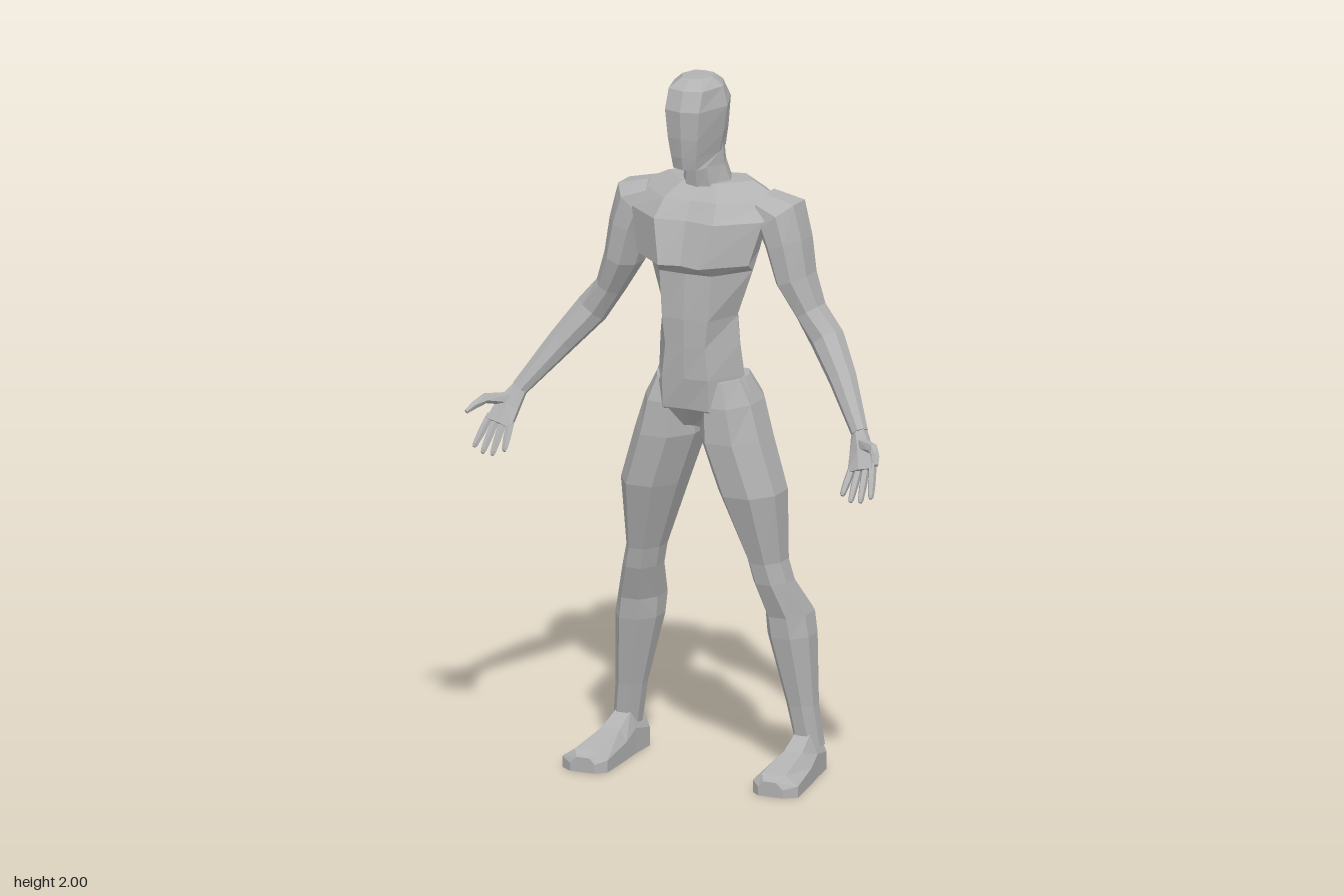
import * as THREE from 'three';

const skin = new THREE.MeshStandardMaterial({ color: 0xb2b2b2, flatShading: true });
skin.name = 'clay grey';

// Skins a list of equal-length rings, closes both ends and faces outwards.
function loft(name, rings, side = 1) {
  const n = rings[0].length, tris = [];
  rings.forEach((ring, r) => {
    const next = rings[r + 1];
    if (!next) return;
    for (let i = 0; i < n; i++) {
      const j = (i + 1) % n;
      tris.push([ring[i], ring[j], next[j]], [ring[i], next[j], next[i]]);
    }
  });
  const cap = (ring, flip) => {
    const mid = ring.reduce((s, p) => s.add(p), new THREE.Vector3()).divideScalar(n);
    ring.forEach((p, i) => {
      const q = ring[(i + 1) % n];
      tris.push(flip ? [mid, q, p] : [mid, p, q]);
    });
  };
  cap(rings[0], true);
  cap(rings[rings.length - 1], false);
  const volume = tris.reduce((v, [a, b, c]) => v + a.dot(b.clone().cross(c)), 0) * side;
  const pos = [];
  tris.forEach(([a, b, c]) => (volume < 0 ? [a, c, b] : [a, b, c])
    .forEach(p => pos.push(p.x * side, p.y, p.z)));
  const geo = new THREE.BufferGeometry();
  geo.setAttribute('position', new THREE.Float32BufferAttribute(pos, 3));
  geo.computeVertexNormals();
  const mesh = new THREE.Mesh(geo, skin);
  mesh.name = name;
  return mesh;
}

// Symmetric ring: y, front middle z, front x/z, side x/z, back x/z, back middle z.
const bodyRing = ([y, fm, fx, fz, sx, sz, bx, bz, bm]) =>
  [[0, fm], [fx, fz], [sx, sz], [bx, bz], [0, bm], [-bx, bz], [-sx, sz], [-fx, fz]]
    .map(([x, z]) => new THREE.Vector3(x, y, z));

// Eight-sided leg ring: y, inner x, outer x, front z, back z.
const legRing = ([y, xi, xo, zf, zb]) => {
  const cx = (xi + xo) / 2, cz = (zf + zb) / 2, w = (xo - xi) / 2, d = (zf - zb) / 2;
  return [[1, 0.35], [0.45, 1], [-0.45, 1], [-1, 0.35], [-1, -0.45], [-0.5, -1], [0.5, -1], [1, -0.45]]
    .map(([u, v]) => new THREE.Vector3(cx + u * w, y, cz + v * d));
};

// Rings along a path of x, y, z, half width across, half depth.
function limbRings(rows, sides) {
  const pts = rows.map(r => new THREE.Vector3(r[0], r[1], r[2]));
  return rows.map(([, , , a, b], i) => {
    const t = pts[Math.min(i + 1, pts.length - 1)].clone().sub(pts[Math.max(i - 1, 0)]).normalize();
    const u = new THREE.Vector3(0, 0, 1).cross(t).normalize();
    const v = t.clone().cross(u);
    return Array.from({ length: sides }, (_, k) => {
      const ang = (k + 0.5) / sides * Math.PI * 2;
      return pts[i].clone().addScaledVector(u, Math.cos(ang) * a * 1.06)
        .addScaledVector(v, Math.sin(ang) * b * 1.06);
    });
  });
}

const TORSO = [
  [1.00, 0.03, 0.03, 0.04, 0.06, -0.02, 0.05, -0.09, -0.06],
  [1.06, 0.08, 0.07, 0.085, 0.16, -0.02, 0.08, -0.145, -0.10],
  [1.15, 0.095, 0.07, 0.09, 0.13, -0.02, 0.07, -0.125, -0.10],
  [1.24, 0.10, 0.06, 0.09, 0.122, -0.01, 0.06, -0.095, -0.08],
  [1.32, 0.10, 0.07, 0.09, 0.113, -0.01, 0.07, -0.10, -0.08],
  [1.45, 0.09, 0.08, 0.085, 0.155, -0.02, 0.10, -0.13, -0.095],
  [1.48, 0.12, 0.06, 0.137, 0.17, 0.04, 0.12, -0.14, -0.10],
  [1.60, 0.085, 0.09, 0.10, 0.20, 0.01, 0.14, -0.165, -0.115],
  [1.65, 0.05, 0.08, 0.055, 0.215, -0.07, 0.13, -0.16, -0.13],
  [1.69, 0.0, 0.05, 0.0, 0.13, -0.08, 0.08, -0.135, -0.12],
];
const NECK = [
  [1.66, 0.01, 0.04, 0.005, 0.08, -0.06, 0.05, -0.125, -0.125],
  [1.74, 0.025, 0.03, 0.015, 0.058, -0.04, 0.035, -0.10, -0.105],
  [1.82, 0.03, 0.03, 0.025, 0.058, -0.03, 0.035, -0.085, -0.09],
];
const HEAD = [
  [1.75, 0.103, 0.035, 0.09, 0.048, 0.06, 0.04, 0.03, 0.03],
  [1.785, 0.11, 0.038, 0.098, 0.063, 0.0, 0.045, -0.078, -0.085],
  [1.84, 0.117, 0.045, 0.105, 0.075, 0.0, 0.05, -0.085, -0.095],
  [1.92, 0.122, 0.052, 0.108, 0.088, 0.0, 0.05, -0.10, -0.11],
  [1.975, 0.10, 0.052, 0.085, 0.075, 0.0, 0.04, -0.07, -0.08],
  [2.00, 0.055, 0.028, 0.048, 0.045, 0.01, 0.028, -0.035, -0.04],
];
const LEG = [
  [1.14, 0.03, 0.125, 0.06, -0.11],
  [1.07, 0.012, 0.16, 0.08, -0.15],
  [0.97, 0.008, 0.19, 0.085, -0.142],
  [0.82, 0.062, 0.235, 0.075, -0.135],
  [0.62, 0.135, 0.235, 0.015, -0.12],
  [0.56, 0.148, 0.25, 0.005, -0.125],
  [0.46, 0.165, 0.285, -0.03, -0.19],
  [0.40, 0.17, 0.295, -0.035, -0.182],
  [0.20, 0.22, 0.302, -0.07, -0.16],
  [0.08, 0.242, 0.315, -0.085, -0.17],
];
// Foot cross-sections: z, inner x, outer x, top y.
const FOOT = [
  [-0.178, 0.235, 0.305, 0.09],
  [-0.09, 0.235, 0.32, 0.12],
  [-0.02, 0.23, 0.335, 0.085],
  [0.12, 0.222, 0.36, 0.058],
  [0.145, 0.25, 0.325, 0.042],
];
const ARM = [
  [0.16, 1.625, -0.08, 0.045, 0.07],
  [0.215, 1.60, -0.08, 0.07, 0.088],
  [0.238, 1.53, -0.078, 0.058, 0.088],
  [0.262, 1.43, -0.075, 0.05, 0.08],
  [0.305, 1.34, -0.078, 0.038, 0.06],
  [0.36, 1.265, -0.07, 0.045, 0.05],
  [0.43, 1.175, -0.02, 0.037, 0.04],
  [0.52, 1.05, 0.06, 0.023, 0.022],
];
const PALM = [
  [0.518, 1.052, 0.058, 0.022, 0.02],
  [0.54, 1.005, 0.09, 0.036, 0.02],
  [0.553, 0.96, 0.122, 0.042, 0.015],
];
// Each finger: base x, y, z then tip x, y, z.
const FINGERS = [
  [0.586, 0.97, 0.118, 0.606, 0.9, 0.17],
  [0.565, 0.965, 0.118, 0.577, 0.887, 0.177],
  [0.543, 0.96, 0.118, 0.547, 0.885, 0.177],
  [0.521, 0.957, 0.118, 0.516, 0.897, 0.165],
];
const THUMB = [
  [0.54, 1.025, 0.085, 0.018, 0.016],
  [0.592, 1.03, 0.125, 0.014, 0.014],
  [0.613, 1.015, 0.155, 0.011, 0.011],
  [0.626, 1.0, 0.178, 0.006, 0.006],
];

function footRing([z, xi, xo, top]) {
  const w = xo - xi;
  return [[xi, 0], [xo, 0], [xo, top * 0.55], [xo - w * 0.28, top], [xi + w * 0.2, top], [xi, top * 0.6]]
    .map(([x, y]) => new THREE.Vector3(x, y, z));
}

function finger([x, y, z, tx, ty, tz]) {
  const at = (k, r) => [x + (tx - x) * k, y + (ty - y) * k, z + (tz - z) * k, r, r];
  return limbRings([at(-0.15, 0.011), at(0.5, 0.0105), at(0.9, 0.008), at(1, 0.005)], 5);
}

export function createModel() {
  const figure = new THREE.Group();
  figure.name = 'figure';
  figure.add(
    loft('torso', TORSO.map(bodyRing)),
    loft('neck', NECK.map(bodyRing)),
    loft('head', HEAD.map(bodyRing)),
  );
  // Limbs, mirrored left and right
  for (const [label, s] of [['left', 1], ['right', -1]]) {
    const hand = new THREE.Group();
    hand.name = label + 'Hand';
    hand.add(loft('palm', limbRings(PALM, 6), s), loft('thumb', limbRings(THUMB, 5), s));
    FINGERS.forEach((f, i) => hand.add(loft('finger' + (i + 1), finger(f), s)));
    figure.add(
      loft(label + 'Leg', LEG.map(legRing), s),
      loft(label + 'Foot', FOOT.map(footRing), s),
      loft(label + 'Arm', limbRings(ARM, 8), s),
      hand,
    );
  }
  return figure;
}
